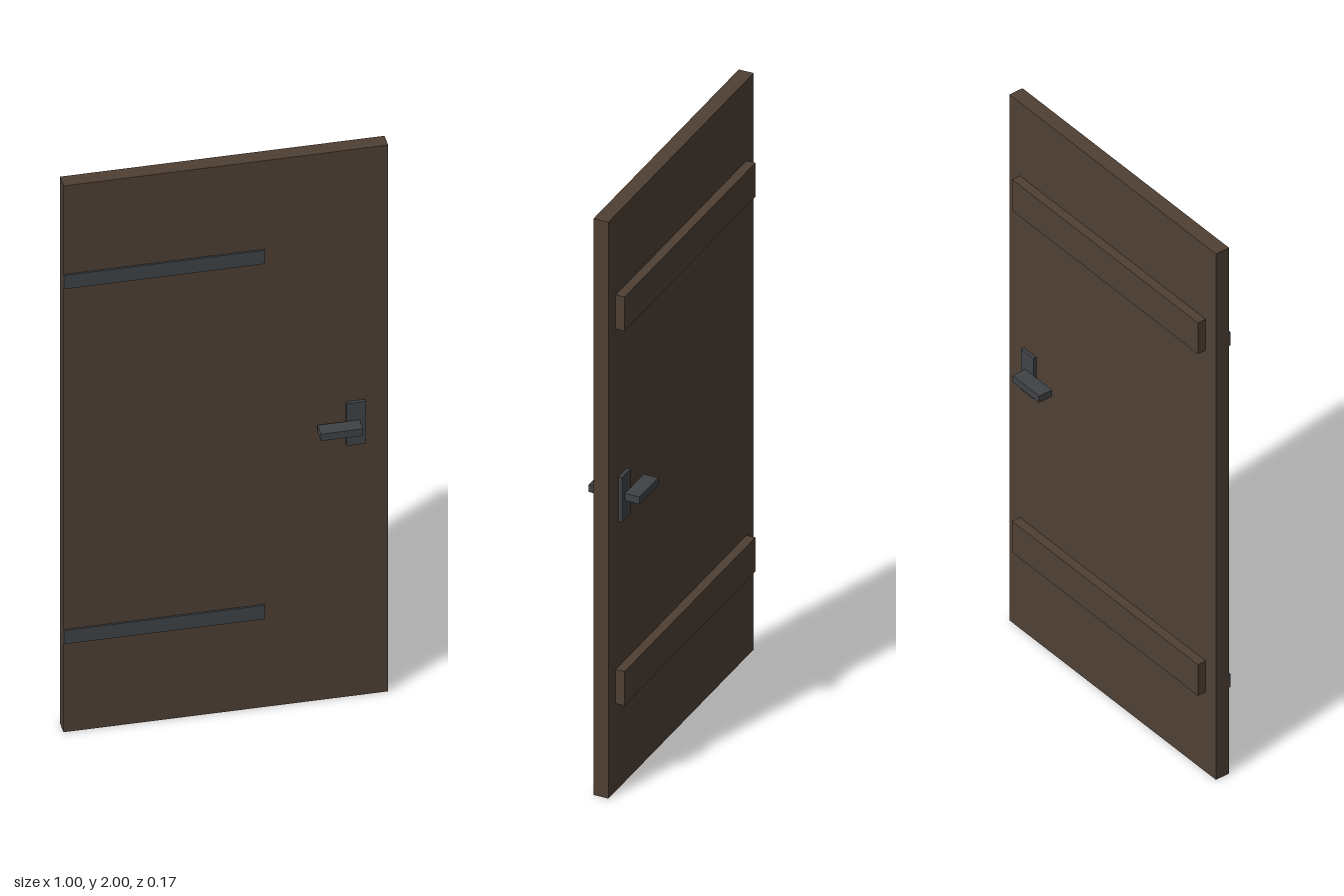
import * as THREE from 'three';

export function createModel() {
  const door = new THREE.Group();
  door.name = 'door';

  const wood = new THREE.MeshStandardMaterial({ color: 0x4f4034 });
  wood.name = 'dark wood';
  const iron = new THREE.MeshStandardMaterial({ color: 0x404346 });
  iron.name = 'dark iron';

  // Box given by its extents along each axis
  function addBox(name, material, [x0, x1], [y0, y1], [z0, z1]) {
    const mesh = new THREE.Mesh(new THREE.BoxGeometry(x1 - x0, y1 - y0, z1 - z0), material);
    mesh.position.set((x0 + x1) / 2, (y0 + y1) / 2, (z0 + z1) / 2);
    mesh.name = name;
    door.add(mesh);
  }

  addBox('doorPanel', wood, [-0.5, 0.5], [0, 2], [-0.025, 0.025]);

  // Upper and lower: iron strap in front, wooden batten behind
  for (const [level, y] of [['lower', 0.35], ['upper', 1.65]]) {
    addBox(level + 'HingeStrap', iron, [-0.5, 0.12], [y - 0.024, y + 0.026], [0.025, 0.031]);
    addBox(level + 'Batten', wood, [-0.45, 0.45], [y - 0.046, y + 0.072], [-0.055, -0.025]);
  }

  // Backplate and lever on both faces
  for (const [side, s] of [['front', 1], ['back', -1]]) {
    const depth = (a, b) => [s * a, s * b].sort((p, q) => p - q);
    addBox(side + 'Backplate', iron, [0.37, 0.43], [0.925, 1.08], depth(0.025, 0.036));
    addBox(side + 'Lever', iron, [0.28, 0.41], [0.99, 1.015], depth(0.036, 0.085));
  }

  return door;
}
